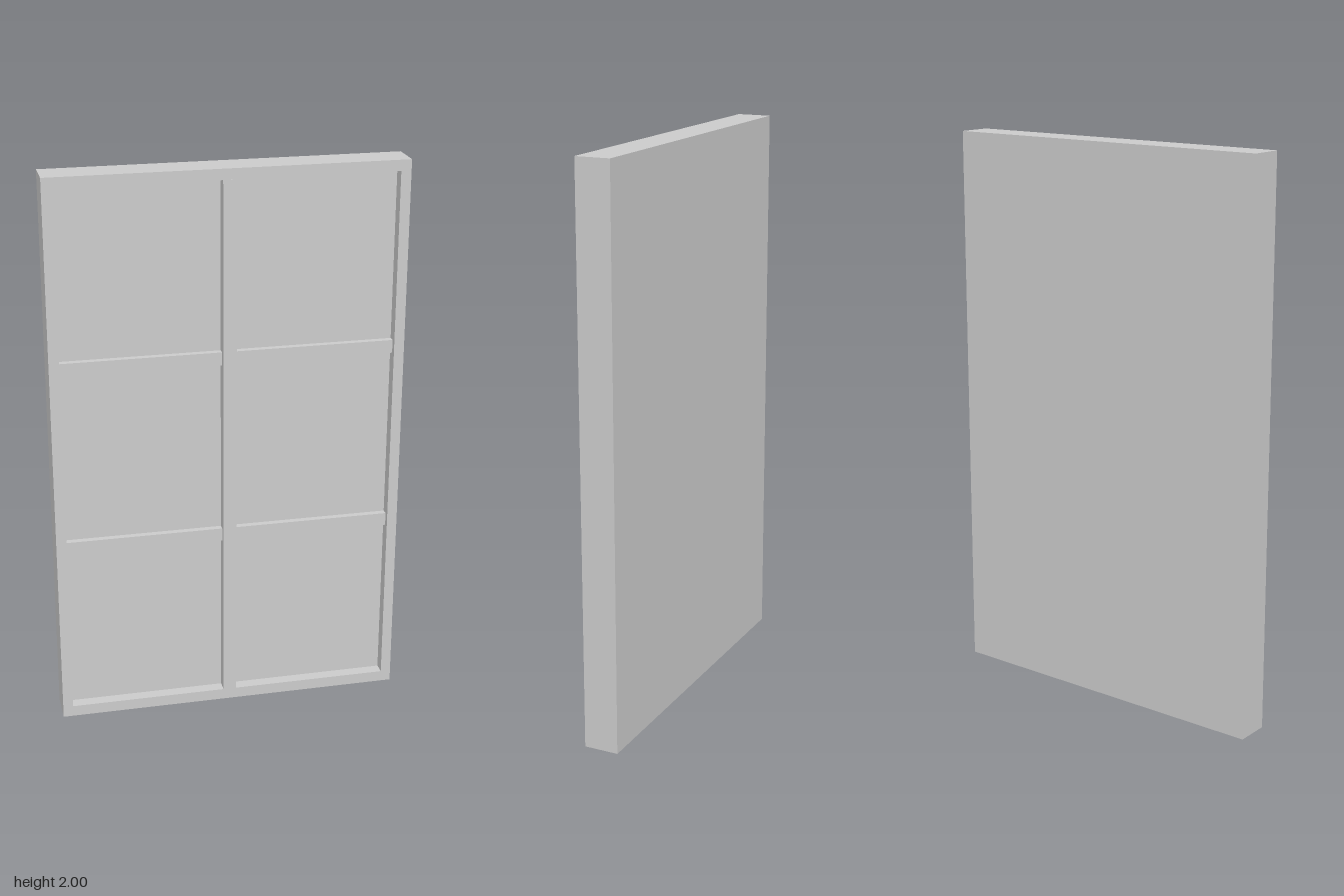
import * as THREE from 'three';

const W = 1.244, H = 2, BACK = -0.062, FRONT = 0.061;
const PANEL = 0.018;                       // front of the recessed panel
const OPEN = { x: 0.586, y0: 0.04, y1: 1.962 };

export function createModel() {
  const group = new THREE.Group();
  const material = new THREE.MeshStandardMaterial({ color: 0xcccccc, flatShading: true });

  const add = (name, geometry) => {
    const mesh = new THREE.Mesh(geometry, material);
    mesh.name = name;
    group.add(mesh);
    return mesh;
  };
  // Box given by its limits on each axis
  const box = (name, x0, x1, y0, y1, z0, z1) =>
    add(name, new THREE.BoxGeometry(x1 - x0, y1 - y0, z1 - z0))
      .position.set((x0 + x1) / 2, (y0 + y1) / 2, (z0 + z1) / 2);

  // Outer frame: rectangle with one large opening, full depth
  const outline = new THREE.Shape([
    new THREE.Vector2(-W / 2, 0), new THREE.Vector2(W / 2, 0),
    new THREE.Vector2(W / 2, H), new THREE.Vector2(-W / 2, H),
  ]);
  outline.holes.push(new THREE.Path([
    new THREE.Vector2(-OPEN.x, OPEN.y0), new THREE.Vector2(-OPEN.x, OPEN.y1),
    new THREE.Vector2(OPEN.x, OPEN.y1), new THREE.Vector2(OPEN.x, OPEN.y0),
  ]));
  add('frame', new THREE.ExtrudeGeometry(outline, { depth: FRONT - BACK, bevelEnabled: false }))
    .position.z = BACK;

  // Recessed panel filling the opening, flush with the back
  box('panel', -OPEN.x, OPEN.x, OPEN.y0, OPEN.y1, BACK, PANEL);

  // Central upright, a hair proud of the frame
  box('centreUpright', -0.024, 0.024, OPEN.y0, OPEN.y1, PANEL, 0.062);

  // Two set-back crossbars on each side of the upright
  for (const side of [-1, 1]) {
    for (const y of [0.668, 1.335]) {
      const [a, b] = [side * 0.024, side * OPEN.x].sort((p, q) => p - q);
      box('crossbar', a, b, y - 0.0235, y + 0.0235, PANEL, 0.041);
    }
  }
  return group;
}
